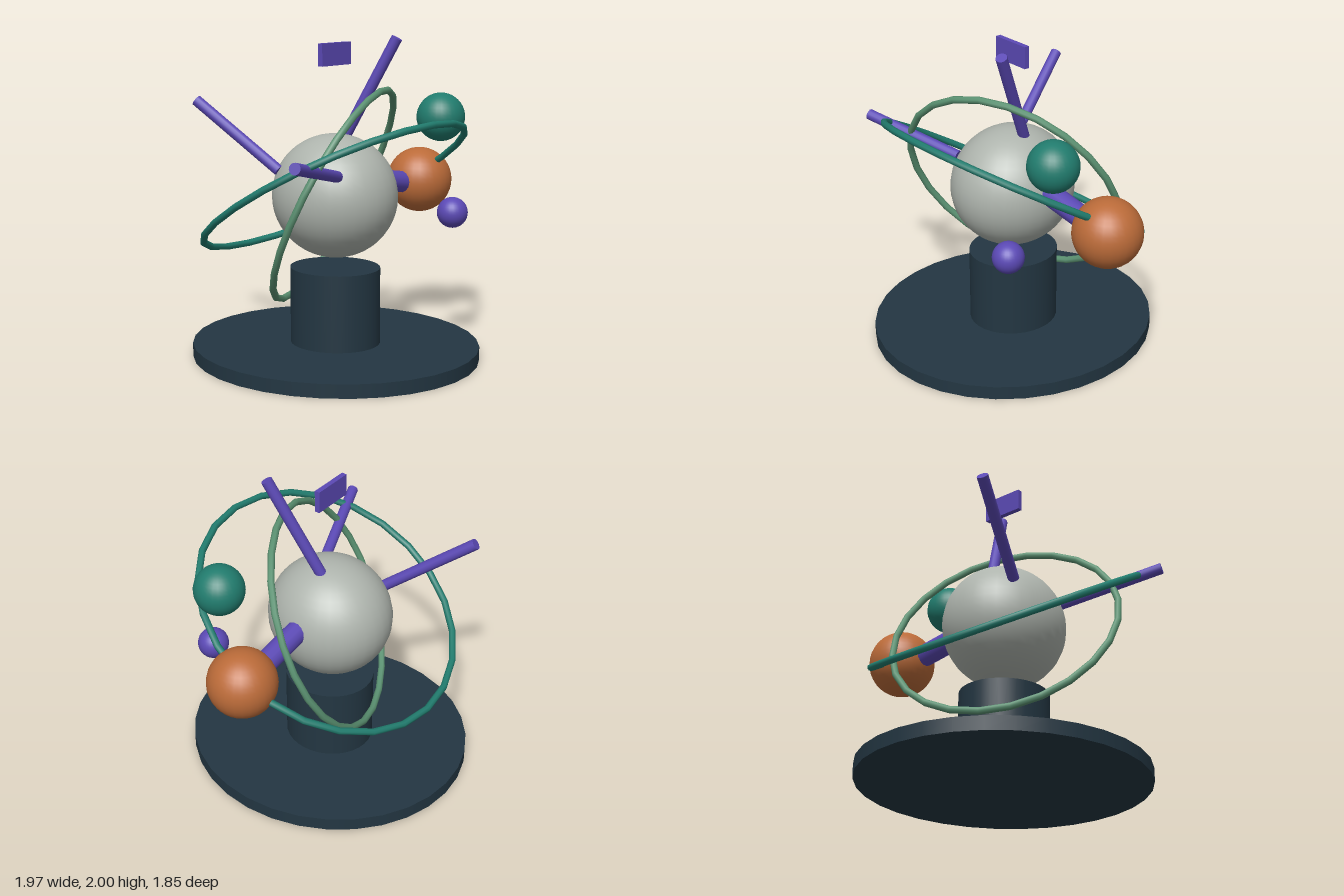
import * as THREE from 'three';

const paint = (name, color) => {
  const m = new THREE.MeshStandardMaterial({ color });
  m.name = name;
  return m;
};

export function createModel() {
  const model = new THREE.Group();
  model.name = 'orreryModel';

  const slate = paint('darkSlate', 0x233642);
  const grey = paint('paleGrey', 0xaeb4ad);
  const purple = paint('purple', 0x5b49b5);
  const orange = paint('orange', 0xbb6b39);
  const teal = paint('teal', 0x217c6e);
  const green = paint('sageGreen', 0x5b9272);

  const add = (name, geometry, material, x, y, z) => {
    const mesh = new THREE.Mesh(geometry, material);
    mesh.name = name;
    mesh.position.set(x, y, z);
    model.add(mesh);
    return mesh;
  };

  // Round rod between two points
  const rod = (name, from, to, radius) => {
    const a = new THREE.Vector3(...from);
    const b = new THREE.Vector3(...to);
    const dir = b.clone().sub(a);
    const mid = a.clone().add(b).multiplyScalar(0.5);
    const mesh = add(name, new THREE.CylinderGeometry(radius, radius, dir.length(), 14), purple, mid.x, mid.y, mid.z);
    mesh.quaternion.setFromUnitVectors(new THREE.Vector3(0, 1, 0), dir.normalize());
  };

  // Thin hoop whose plane faces along the given normal
  const ring = (name, radius, material, y, normal) => {
    const mesh = add(name, new THREE.TorusGeometry(radius, 0.022, 8, 24), material, -0.092, y, 0);
    mesh.quaternion.setFromUnitVectors(new THREE.Vector3(0, 0, 1), new THREE.Vector3(...normal).normalize());
    return mesh;
  };

  // Stand: slightly oval disc and pillar
  add('baseDisc', new THREE.CylinderGeometry(0.923, 0.923, 0.085, 32), slate, -0.092, 0.0425, 0).scale.x = 0.934;
  add('pillar', new THREE.CylinderGeometry(0.289, 0.289, 0.48, 32), slate, -0.092, 0.325, 0).scale.x = 0.934;

  // Central globe
  add('globe', new THREE.SphereGeometry(1, 32, 24), grey, -0.095, 1.016, 0).scale.set(0.374, 0.385, 0.402);

  // Orbiting balls
  const balls = [
    ['orangeBall', 0.214, orange, 0.768, 1.01, 0],
    ['tealBall', 0.155, teal, 0.608, 1.463, 0.288],
    ['purpleBall', 0.097, purple, 0.457, 0.89, 0.497],
  ];
  for (const [name, r, material, x, y, z] of balls) {
    add(name, new THREE.SphereGeometry(r, 28, 20), material, x, y, z);
  }

  // Orbit rings
  ring('tealRing', 0.875, teal, 1.063, [0, 0.857, -0.515]);
  ring('greenRing', 0.728, green, 1.015, [0.339, -0.42, 0.84]);

  // Thick arm to the orange ball and three spokes
  rod('ballArm', [0.18, 1.083, 0], [0.72, 0.993, 0], 0.071);
  rod('topSpoke', [0.005, 1.36, -0.01], [0.15, 1.985, 0.287], 0.035);
  rod('backSpoke', [-0.355, 1.18, -0.23], [-0.54, 1.59, -0.75], 0.035);
  rod('frontSpoke', [-0.345, 1.187, 0.235], [-0.97, 1.333, 0.465], 0.035);

  // Small floating plate above the globe
  add('topPlate', new THREE.BoxGeometry(0.268, 0.138, 0.033), purple, -0.094, 1.888, 0);

  return model;
}
